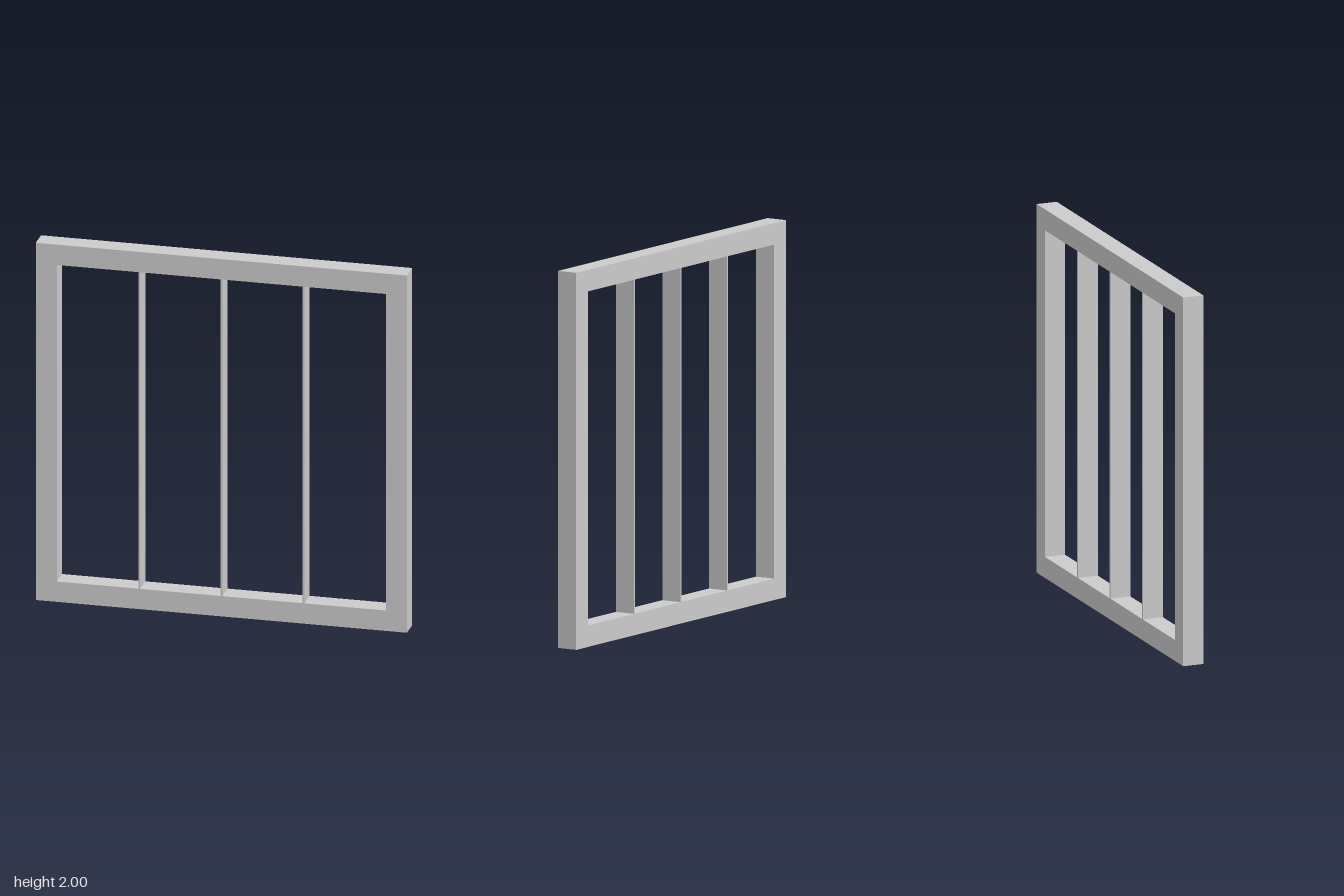
import * as THREE from 'three';

const SIZE = 2, BORDER = 0.114, DEPTH = 0.114, SLAT = 0.01;

export function createModel() {
  const model = new THREE.Group();
  const material = new THREE.MeshStandardMaterial({ color: 0xcccccc, flatShading: true });
  const half = SIZE / 2, inner = half - BORDER;

  // Square outer frame with one square opening
  const outline = new THREE.Shape([
    new THREE.Vector2(-half, 0), new THREE.Vector2(half, 0),
    new THREE.Vector2(half, SIZE), new THREE.Vector2(-half, SIZE),
  ]);
  outline.holes.push(new THREE.Path([
    new THREE.Vector2(-inner, BORDER), new THREE.Vector2(-inner, SIZE - BORDER),
    new THREE.Vector2(inner, SIZE - BORDER), new THREE.Vector2(inner, BORDER),
  ]));
  const frameGeometry = new THREE.ExtrudeGeometry(outline, { depth: DEPTH, bevelEnabled: false });
  frameGeometry.translate(0, 0, -DEPTH / 2);
  const frame = new THREE.Mesh(frameGeometry, material);
  frame.name = 'outerFrame';
  model.add(frame);

  // Three thin upright slats dividing the opening into four equal bays
  const slatGeometry = new THREE.BoxGeometry(SLAT, inner * 2, DEPTH);
  ['rightSlat', 'middleSlat', 'leftSlat'].forEach((name, i) => {
    const slat = new THREE.Mesh(slatGeometry, material);
    slat.name = name;
    slat.position.set((i - 1) * inner / 2, half, 0);
    model.add(slat);
  });

  return model;
}
